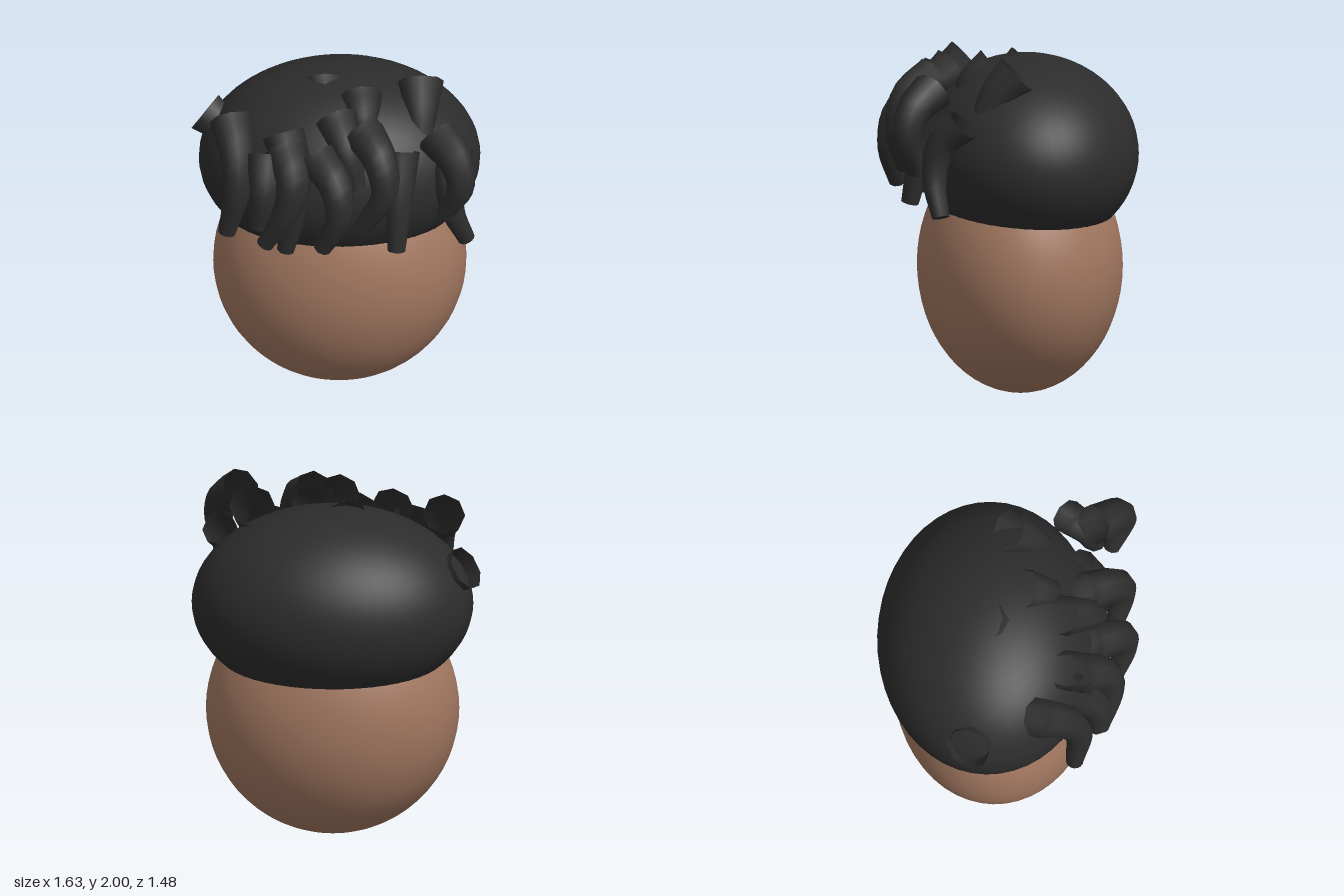
import * as THREE from 'three';

export function createModel() {
  const group = new THREE.Group();
  const skin = new THREE.MeshStandardMaterial({ color: 0xa0765f });
  skin.name = 'skin';
  const hair = new THREE.MeshStandardMaterial({ color: 0x2c2c2c, side: THREE.DoubleSide });
  hair.name = 'hair';

  function ellipsoid(name, material, center, radii) {
    const mesh = new THREE.Mesh(new THREE.SphereGeometry(1, 48, 32).scale(...radii), material);
    mesh.position.set(...center);
    mesh.name = name;
    group.add(mesh);
  }
  ellipsoid('head', skin, [0.025, 0.73, -0.08], [0.715, 0.73, 0.58]);
  ellipsoid('hairCap', hair, [0.025, 1.375, -0.12], [0.795, 0.55, 0.63]);

  // Eight-sided curved tube, wide and open at the root, narrow and closed at the tip
  function lock(name, points, r0 = 0.125, r1 = 0.05) {
    const curve = new THREE.CatmullRomCurve3(points.map(p => new THREE.Vector3(...p)));
    const steps = 14, sides = 8;
    const geo = new THREE.TubeGeometry(curve, steps, 1, sides);
    const pos = geo.attributes.position;
    const v = new THREE.Vector3();
    for (let i = 0; i <= steps; i++) {
      const t = i / steps;
      const c = curve.getPointAt(t);
      const r = r0 + (r1 - r0) * t;
      for (let j = 0; j <= sides; j++) {
        const k = i * (sides + 1) + j;
        v.fromBufferAttribute(pos, k).sub(c).multiplyScalar(r).add(c);
        pos.setXYZ(k, v.x, v.y, v.z);
      }
    }
    const mesh = new THREE.Mesh(geo, hair);
    mesh.name = name;
    const tip = new THREE.Mesh(new THREE.CircleGeometry(r1, sides), hair);
    tip.name = name + 'Tip';
    const end = curve.getPointAt(1);
    tip.position.copy(end);
    tip.lookAt(end.clone().add(curve.getTangentAt(1)));
    group.add(mesh, tip);
  }

  // Curls hanging over the forehead, from -x to +x
  const fringe = [
    [[-0.6, 1.8, 0.17], [-0.57, 1.67, 0.32], [-0.57, 1.48, 0.4], [-0.63, 1.18, 0.38]],
    [[-0.4, 1.68, 0.38], [-0.42, 1.5, 0.5], [-0.46, 1.28, 0.5]],
    [[-0.31, 1.79, 0.33], [-0.25, 1.6, 0.46], [-0.26, 1.35, 0.47], [-0.3, 1.1, 0.45]],
    [[-0.3, 1.73, 0.4], [-0.26, 1.61, 0.54], [-0.3, 1.42, 0.57], [-0.42, 1.18, 0.52]],
    [[-0.12, 1.7, 0.45], [-0.02, 1.59, 0.61], [-0.01, 1.42, 0.65], [-0.1, 1.19, 0.6]],
    [[-0.01, 1.87, 0.3], [0.05, 1.74, 0.45], [0.1, 1.52, 0.5]],
    [[0.14, 1.84, 0.42], [0.23, 1.74, 0.58], [0.25, 1.56, 0.63], [0.13, 1.32, 0.58]],
    [[0.36, 1.69, 0.38], [0.34, 1.45, 0.5], [0.32, 1.15, 0.57]],
    [[0.55, 1.84, 0.46], [0.65, 1.74, 0.58], [0.68, 1.59, 0.62], [0.59, 1.38, 0.56]],
    [[0.67, 1.66, 0.3], [0.63, 1.54, 0.42], [0.64, 1.35, 0.46], [0.72, 1.14, 0.43]],
  ];
  fringe.forEach((p, i) => lock('fringeLock' + (i + 1), p, i === 7 || i === 9 ? 0.1 : 0.12));

  // Short curls mostly sunk into the crown and the side
  lock('crownLockLeft', [[0.48, 1.91, -0.02], [0.48, 1.79, 0.1], [0.48, 1.62, 0.2]], 0.13);
  lock('crownLockMiddle', [[0.14, 1.89, 0.08], [0.15, 1.8, 0.2], [0.16, 1.62, 0.26]], 0.12);
  lock('crownLockBack', [[-0.06, 1.87, -0.12], [-0.06, 1.78, -0.02], [-0.06, 1.6, 0.06]], 0.12);
  lock('sideLock', [[-0.73, 1.62, -0.22], [-0.62, 1.54, -0.17], [-0.48, 1.42, -0.12]], 0.13);
  return group;
}
